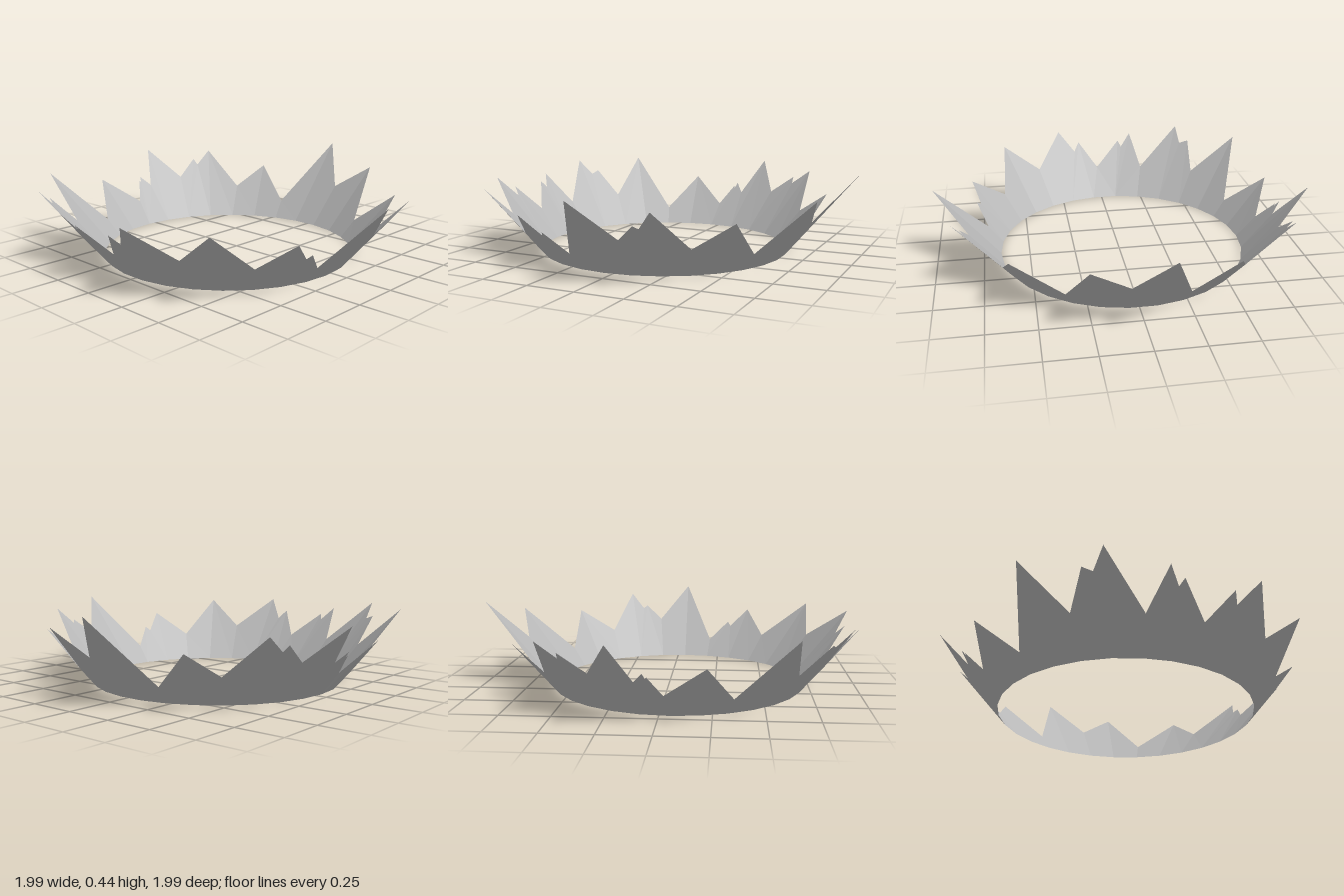
import * as THREE from 'three';

const SIDES = 30;          // facets of the foot circle
const RADIUS = 0.677;      // foot radius
const SLOPE = 1.19;        // rise per unit of outward flare
const CX = -0.02, CZ = 0.045;

// Jagged rim seen from above as [x, z], running from the left tip round by the front.
const RIM = [
  // left front
  [0.995, 0.045], [0.72, 0.2], [0.78, 0.315], [0.755, 0.33], [0.8, 0.44], [0.617, 0.527],
  // front
  [0.6, 0.793], [0.39, 0.778], [0.245, 0.99], [0.15, 0.915], [0.118, 0.96], [0.01, 0.853],
  [-0.143, 0.96], [-0.16, 0.93], [-0.223, 0.98], [-0.27, 0.815], [-0.52, 0.915],
  [-0.53, 0.825], [-0.58, 0.81], [-0.57, 0.655],
  // right
  [-0.83, 0.64], [-0.707, 0.35], [-0.91, 0.23], [-0.8, 0.03], [-0.885, -0.037],
  [-0.87, -0.052], [-0.9, -0.056], [-0.85, -0.1], [-0.995, -0.205], [-0.805, -0.315],
  [-0.825, -0.45], [-0.79, -0.453], [-0.795, -0.56], [-0.545, -0.575],
  // back
  [-0.47, -0.75], [-0.25, -0.675], [-0.1, -1.0], [0.07, -0.81], [0.27, -0.885], [0.36, -0.61],
  // left back
  [0.62, -0.615], [0.65, -0.41], [0.89, -0.32], [0.84, -0.24], [0.86, -0.218], [0.815, -0.122],
];

function rimPoint([x, z]) {
  const r = Math.hypot(x - CX, z - CZ);
  let angle = Math.atan2(z - CZ, x - CX);
  if (angle < -1e-6) angle += Math.PI * 2;
  return { angle, pos: [x, SLOPE * (r - RADIUS), z] };
}

function footPoint(i) {
  const angle = (i / SIDES) * Math.PI * 2;
  return { angle, pos: [CX + RADIUS * Math.cos(angle), 0, CZ + RADIUS * Math.sin(angle)] };
}

// Repeat the first point one full turn later to close a loop.
function closeLoop(loop) {
  return [...loop, { angle: loop[0].angle + Math.PI * 2, pos: loop[0].pos }];
}

// Zip two loops together with triangles, always advancing the one that lags in angle.
function zipLoops(lower, upper) {
  const positions = [];
  let i = 0, j = 0;
  while (i < lower.length - 1 || j < upper.length - 1) {
    const a = lower[i], b = upper[j];
    const nextA = lower[i + 1], nextB = upper[j + 1];
    if (!nextB || (nextA && nextA.angle <= nextB.angle)) {
      positions.push(...a.pos, ...b.pos, ...nextA.pos);
      i++;
    } else {
      positions.push(...a.pos, ...b.pos, ...nextB.pos);
      j++;
    }
  }
  const geometry = new THREE.BufferGeometry();
  geometry.setAttribute('position', new THREE.Float32BufferAttribute(positions, 3));
  geometry.computeVertexNormals();
  return geometry;
}

export function createModel() {
  const group = new THREE.Group();
  group.name = 'jaggedRing';

  const grey = new THREE.MeshStandardMaterial({
    color: 0xb8b8b8, flatShading: true, side: THREE.DoubleSide,
  });
  grey.name = 'light grey';

  // Flared open shell with a torn, spiky upper edge
  const foot = closeLoop(Array.from({ length: SIDES }, (_, i) => footPoint(i)));
  const rim = closeLoop(RIM.map(rimPoint));
  const shell = new THREE.Mesh(zipLoops(foot, rim), grey);
  shell.name = 'spikyShell';
  group.add(shell);

  return group;
}
